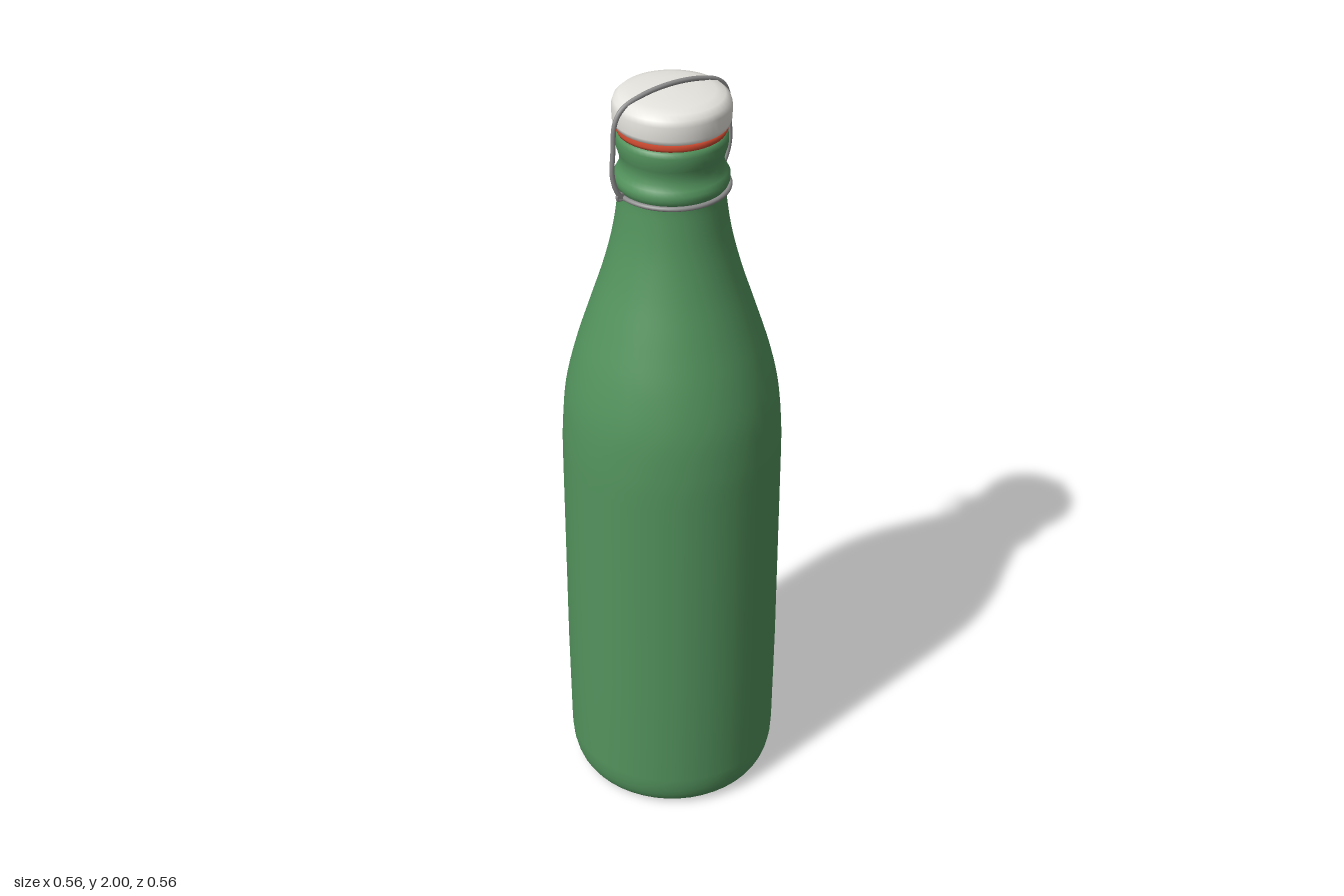
import * as THREE from 'three';

const mat = (color) => new THREE.MeshStandardMaterial({ color });
const vec2 = (list) => list.map(([x, y]) => new THREE.Vector2(x, y));
const vec3 = (list) => list.map((p) => new THREE.Vector3(...p));

export function createModel() {
  const group = new THREE.Group();
  const glass = mat(0x53935d);
  const ceramic = mat(0xe6e4de);
  const rubber = mat(0xcc4a30);
  const steel = mat(0x8c8c8c);

  const add = (name, geometry, material, parent = group) => {
    const mesh = new THREE.Mesh(geometry, material);
    mesh.name = name;
    parent.add(mesh);
    return mesh;
  };
  const lathe = (points) => new THREE.LatheGeometry(points, 48);
  const wire = (points, radius, segments) =>
    new THREE.TubeGeometry(new THREE.CatmullRomCurve3(vec3(points), false, 'centripetal'), segments, radius, 10);

  // Bottle: hollowed base, rounded heel, straight wall, sloping shoulder, collared neck
  const base = vec2([[0, 0.03], [0.1, 0.026], [0.18, 0.014], [0.215, 0.003], [0.226, 0]]);
  const heel = new THREE.CubicBezierCurve(...vec2([[0.23, 0], [0.258, 0.004], [0.274, 0.035], [0.276, 0.1]])).getPoints(8);
  const shoulder = new THREE.SplineCurve(vec2([
    [0.276, 1.0], [0.274, 1.08], [0.264, 1.19], [0.239, 1.3], [0.204, 1.41],
    [0.168, 1.52], [0.142, 1.62], [0.128, 1.71], [0.126, 1.745],
  ])).getPoints(40);
  const neck = vec2([
    [0.132, 1.752], [0.136, 1.762], [0.136, 1.774], [0.13, 1.785], [0.123, 1.797], [0.121, 1.815],
    [0.125, 1.832], [0.13, 1.848], [0.131, 1.868], [0.128, 1.879], [0.121, 1.883], [0, 1.883],
  ]);
  add('bottle', lathe([...base, ...heel, new THREE.Vector2(0.278, 0.4), ...shoulder, ...neck]), glass);

  // Swing-top stopper with its rubber seal
  add('seal', lathe(vec2([[0, 1.88], [0.118, 1.88], [0.127, 1.884], [0.13, 1.891], [0.127, 1.9], [0, 1.902]])), rubber);
  add('stopper', lathe(vec2([
    [0, 1.9], [0.126, 1.9], [0.134, 1.904], [0.138, 1.915], [0.138, 1.948], [0.134, 1.962],
    [0.122, 1.973], [0.1, 1.979], [0.06, 1.984], [0, 1.986],
  ])), ceramic);

  // Wire closure: neck ring, bail over the stopper, side eyelets and rear lever
  const closure = new THREE.Group();
  closure.name = 'wireClosure';
  group.add(closure);
  const ring = add('neckRing', new THREE.TorusGeometry(0.135, 0.006, 10, 48), steel, closure);
  ring.rotation.x = Math.PI / 2;
  ring.position.y = 1.746;

  const side = [[0.14, 1.747, 0], [0.152, 1.765, 0], [0.164, 1.808, 0], [0.161, 1.87, 0], [0.155, 1.935, 0], [0.134, 1.966, 0], [0.08, 1.986, 0]];
  const mirrored = side.map(([x, y, z]) => [-x, y, z]).reverse();
  add('bail', wire([...side, [0, 1.994, 0], ...mirrored], 0.006, 90), steel, closure);

  for (const s of [-1, 1]) {
    const eyelet = add('eyelet', new THREE.TorusGeometry(0.008, 0.004, 8, 16), steel, closure);
    eyelet.position.set(s * 0.144, 1.75, 0);
  }

  const lever = [[0, 1.748, -0.13], [0, 1.748, -0.146], [0, 1.737, -0.16], [0, 1.71, -0.167], [0, 1.67, -0.165], [0, 1.62, -0.158]];
  add('lever', wire(lever, 0.005, 30), steel, closure);
  const tip = add('leverTip', new THREE.SphereGeometry(0.005, 10, 8), steel, closure);
  tip.position.set(...lever[lever.length - 1]);

  return group;
}
